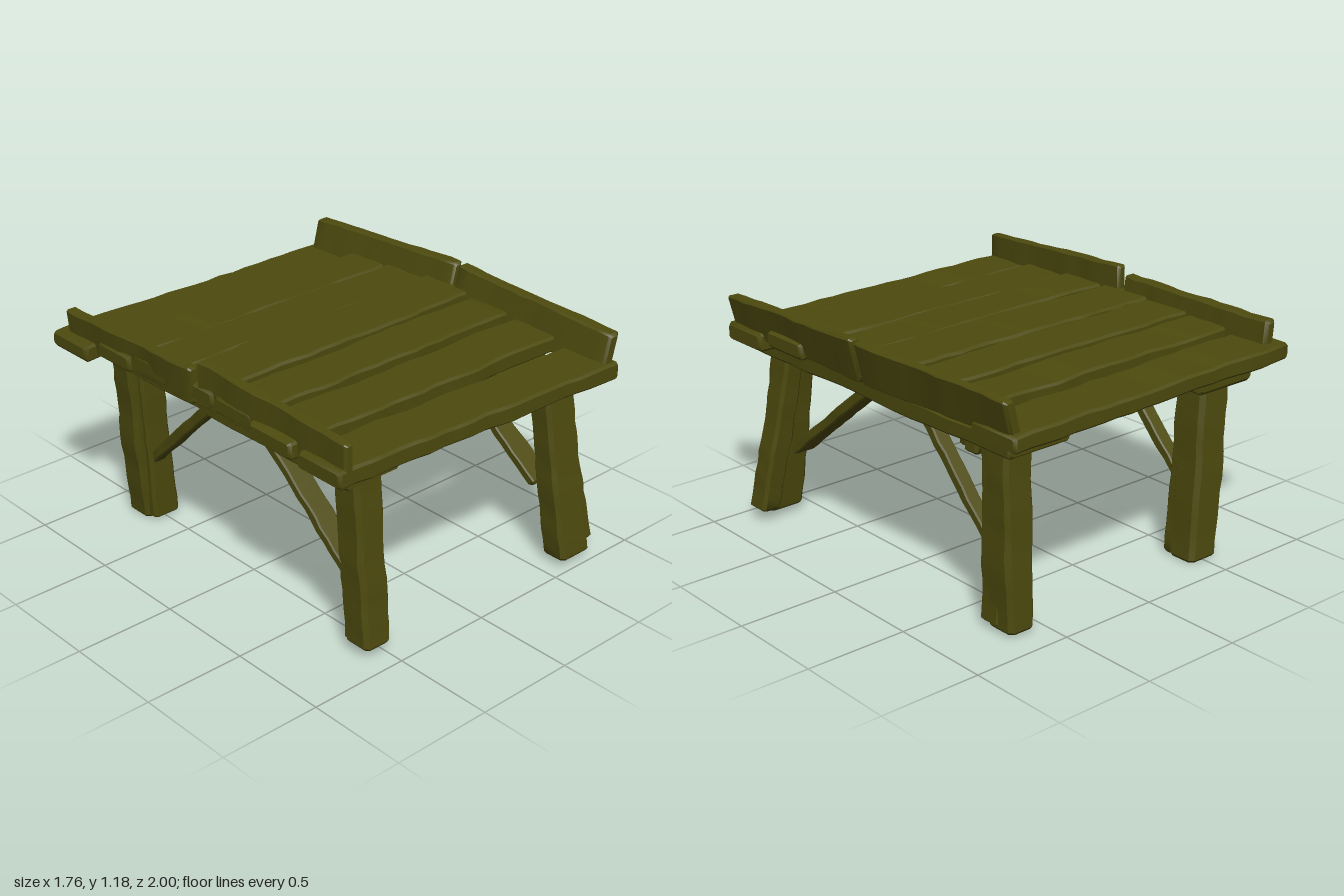
import * as THREE from 'three';
import { toCreasedNormals } from 'three/addons/utils/BufferGeometryUtils.js';

const V = (a) => new THREE.Vector3(...a);
const lerp = THREE.MathUtils.lerp;

// small seeded random, -1..1
function seeded(seed) {
  let s = seed * 7919 + 13;
  return () => {
    s = (s * 16807) % 2147483647;
    return (s / 2147483647) * 2 - 1;
  };
}

// Rough hewn timber: chamfered rectangles swept from a to b.
// u, v: section axes; sizeA, sizeB: [u, v] full sizes at the two ends
function timber({ a, b, u, v, sizeA, sizeB = sizeA, rough = 0.008, rings = 14, seed = 1 }) {
  const rnd = seeded(seed);
  for (let i = 0; i < 5; i++) rnd();
  const A = V(a), B = V(b), U = V(u), W = V(v);
  const len = A.distanceTo(B);
  const inset = Math.min(0.014 / len, 0.1);
  const flip = U.clone().cross(W).dot(B.clone().sub(A)) < 0;
  const stops = [0];
  for (let i = 0; i <= rings; i++) stops.push(lerp(inset, 1 - inset, i / rings));
  stops.push(1);
  const pos = [], idx = [];
  const n = 8;
  let wob = [0, 0, 0, 0];
  stops.forEach((t, r) => {
    const end = r === 0 || r === stops.length - 1;
    // each of the four sides drifts on its own, for worn edges
    wob = wob.map((w) => w * 0.5 + rnd() * rough);
    const shrink = end ? 0.012 : 0;
    const hu = lerp(sizeA[0], sizeB[0], t) / 2 - shrink;
    const hv = lerp(sizeA[1], sizeB[1], t) / 2 - shrink;
    const c = Math.min(hu, hv) * 0.28;
    const u0 = -hu + wob[0], u1 = hu + wob[1];
    const v0 = -hv + wob[2] * 0.5, v1 = hv + wob[3] * 0.5;
    const section = [
      [u1, v0 + c], [u1, v1 - c], [u1 - c, v1], [u0 + c, v1],
      [u0, v1 - c], [u0, v0 + c], [u0 + c, v0], [u1 - c, v0],
    ];
    const centre = A.clone().lerp(B, t);
    for (const [x, y] of section) {
      const p = centre.clone().addScaledVector(U, x).addScaledVector(W, y);
      pos.push(p.x, p.y, p.z);
    }
  });
  const tri = (i, j, k) => (flip ? idx.push(i, k, j) : idx.push(i, j, k));
  for (let r = 0; r < stops.length - 1; r++) {
    for (let i = 0; i < n; i++) {
      const p = r * n + i, q = r * n + ((i + 1) % n);
      tri(p, q, p + n);
      tri(q, q + n, p + n);
    }
  }
  const last = (stops.length - 1) * n;
  for (let i = 1; i < n - 1; i++) {
    tri(0, i + 1, i);
    tri(last, last + i, last + i + 1);
  }
  const g = new THREE.BufferGeometry();
  g.setAttribute('position', new THREE.Float32BufferAttribute(pos, 3));
  g.setIndex(idx);
  return toCreasedNormals(g, 0.6);
}

export function createModel() {
  const root = new THREE.Group();
  root.name = 'woodenTable';
  const wood = new THREE.MeshStandardMaterial({ color: 0x4d4a0e });
  wood.name = 'mossyWood';
  let seed = 1;
  const add = (name, spec) => {
    const m = new THREE.Mesh(timber({ seed: seed++, ...spec }), wood);
    m.name = name;
    root.add(m);
  };
  const X = [1, 0, 0], Y = [0, 1, 0], Z = [0, 0, 1];

  // deck planks: x ends, z centre at each end, width, y centre at each end, thickness
  const planks = [
    [-0.88, 0.8, -0.855, -0.86, 0.27, 0.99, 0.965, 0.08],
    [-0.83, 0.79, -0.58, -0.595, 0.235, 1.015, 1.005, 0.08],
    [-0.81, 0.8, -0.325, -0.325, 0.255, 1.03, 1.02, 0.08],
    [-0.8, 0.83, -0.045, -0.06, 0.29, 1.035, 1.03, 0.085],
    [-0.8, 0.83, 0.245, 0.235, 0.25, 1.03, 1.02, 0.08],
    [-0.83, 0.86, 0.515, 0.54, 0.265, 1.015, 1.005, 0.08],
    [-0.82, 0.86, 0.815, 0.857, 0.265, 0.995, 0.965, 0.085],
  ];
  planks.forEach(([x0, x1, z0, z1, w, y0, y1, h], i) =>
    add('deckPlank' + (i + 1), {
      a: [x0, y0, z0], b: [x1, y1, z1], u: Z, v: Y, sizeA: [w, h], rough: 0.007, rings: 20,
    }));

  // side rails, two boards each side with a notch between them
  add('leftRailBack', {
    a: [0.77, 1.06, -0.965], b: [0.83, 1.075, -0.025], u: X, v: [0.25, 1, 0],
    sizeA: [0.055, 0.19], sizeB: [0.055, 0.21], rough: 0.006,
  });
  add('leftRailFront', {
    a: [0.825, 1.075, -0.005], b: [0.815, 1.055, 0.975], u: X, v: [0.25, 1, 0],
    sizeA: [0.055, 0.21], sizeB: [0.06, 0.18], rough: 0.006,
  });
  add('rightRailBack', {
    a: [-0.795, 1.05, -0.935], b: [-0.78, 1.06, -0.025], u: X, v: [-0.1, 1, 0],
    sizeA: [0.06, 0.17], sizeB: [0.055, 0.18], rough: 0.006,
  });
  add('rightRailFront', {
    a: [-0.77, 1.085, -0.005], b: [-0.76, 1.065, 0.95], u: X, v: Y,
    sizeA: [0.045, 0.21], sizeB: [0.045, 0.18], rough: 0.006,
  });

  // long bearers under the deck
  add('leftBearer', {
    a: [0.6, 0.912, -0.93], b: [0.61, 0.912, 0.9], u: X, v: Y,
    sizeA: [0.34, 0.085], sizeB: [0.32, 0.085], rough: 0.008,
  });
  add('rightBearer', {
    a: [-0.535, 0.912, -0.92], b: [-0.56, 0.912, 0.87], u: X, v: Y,
    sizeA: [0.33, 0.085], sizeB: [0.31, 0.085], rough: 0.008,
  });

  // legs: top centre and size, bottom centre and size, for the post and its split slab
  const legs = [
    ['frontLeftLeg', [0.63, 0.9, 0.785], [0.19, 0.13], [0.67, 0.04, 0.91], [0.19, 0.14]],
    ['frontLeftLegSlab', [0.67, 0.9, 0.76], [0.11, 0.12], [0.785, 0.065, 0.87], [0.11, 0.13]],
    ['frontRightLeg', [-0.55, 0.9, 0.76], [0.17, 0.16], [-0.545, 0.05, 0.835], [0.15, 0.15]],
    ['frontRightLegSlab', [-0.54, 0.9, 0.71], [0.13, 0.1], [-0.525, 0.04, 0.785], [0.15, 0.11]],
    ['backLeftLeg', [0.625, 0.9, -0.76], [0.16, 0.14], [0.63, 0.015, -0.785], [0.15, 0.16]],
    ['backLeftLegSlab', [0.63, 0.9, -0.7], [0.12, 0.1], [0.64, 0.03, -0.725], [0.13, 0.13]],
    ['backRightLeg', [-0.59, 0.9, -0.75], [0.19, 0.15], [-0.5, 0.005, -0.785], [0.18, 0.16]],
    ['backRightLegSlab', [-0.57, 0.9, -0.7], [0.13, 0.1], [-0.49, 0.01, -0.72], [0.15, 0.11]],
  ];
  for (const [name, a, sizeA, b, sizeB] of legs) {
    add(name, { a, b, u: X, v: Z, sizeA, sizeB, rough: 0.005 });
  }

  // slanted braces from the legs up to the bearers
  const braces = [
    ['frontLeftBrace', 0.63, 0.6, 0.76, 0.37, 0.13, 0.11],
    ['frontRightBrace', -0.55, -0.54, 0.76, 0.37, 0.13, 0.11],
    ['backLeftBrace', 0.62, 0.6, -0.72, 0.31, -0.12, 0.07],
    ['backRightBrace', -0.54, -0.55, -0.72, 0.31, -0.12, 0.07],
  ];
  for (const [name, x0, x1, z0, y0, z1, w] of braces) {
    const s = Math.sign(z0);
    add(name, {
      a: [x0, y0, z0], b: [x1, 0.89, z1], u: X, v: [0, 0.67, 0.74 * s],
      sizeA: [w, 0.045], sizeB: [w, 0.055], rough: 0.005,
    });
  }
  return root;
}
